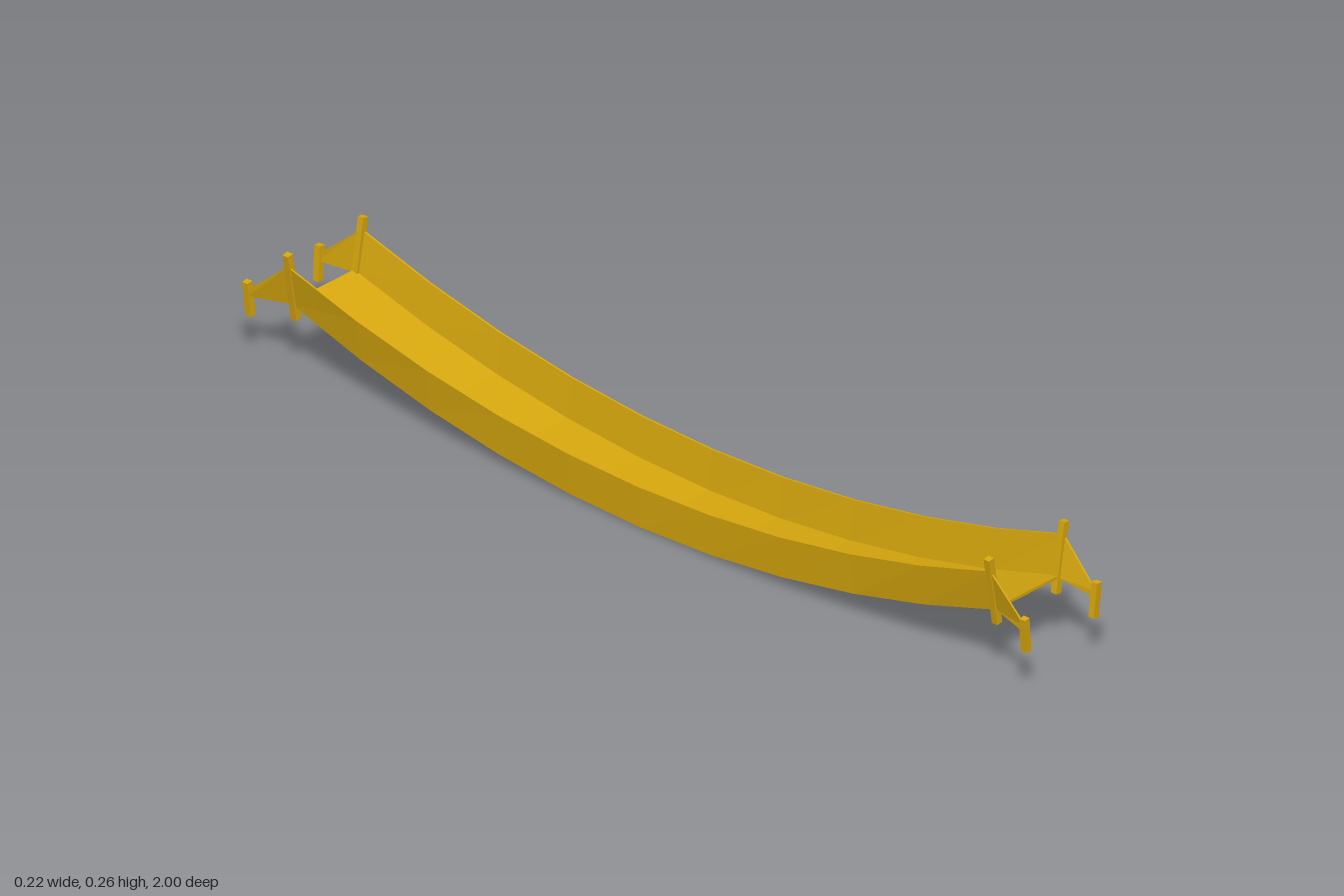
import * as THREE from 'three';

const MID = 0.01, HALF = 0.9;      // bridge centre and half span along z
const SAG = 0.145, WALL = 0.087;   // rise of the ends, height of the side walls

// Bend a unit box by a rule; u and v run -0.5..0.5, w runs 0..1
function bentBox(name, material, segments, rule) {
  const box = new THREE.BoxGeometry(1, 1, 1, 1, 1, segments);
  const p = box.attributes.position;
  for (let i = 0; i < p.count; i++) {
    p.setXYZ(i, ...rule(p.getX(i), p.getY(i), p.getZ(i) + 0.5));
  }
  const geometry = box.toNonIndexed();
  geometry.computeVertexNormals();
  const mesh = new THREE.Mesh(geometry, material);
  mesh.name = name;
  return mesh;
}

// Slanted square post between two points
function post(name, material, bottom, top, size) {
  const a = new THREE.Vector3(...bottom), b = new THREE.Vector3(...top);
  const mesh = new THREE.Mesh(new THREE.BoxGeometry(size, a.distanceTo(b), size), material);
  mesh.position.copy(a).add(b).multiplyScalar(0.5);
  mesh.quaternion.setFromUnitVectors(new THREE.Vector3(0, 1, 0), b.sub(a).normalize());
  mesh.name = name;
  return mesh;
}

export function createModel() {
  const group = new THREE.Group();
  group.name = 'hangingBridge';
  const gold = new THREE.MeshStandardMaterial({ color: 0xd9a90e });
  gold.name = 'golden yellow';

  // Sagging curve and foot of each side wall
  const along = (w) => 2 * w - 1;
  const sagY = (t) => SAG * t * t;
  const footX = (s, t) => s * (0.094 - 0.008 * t * t) - 0.003 * (1 - t * t);
  const topX = (s) => s * 0.102;

  // Walkway
  group.add(bentBox('deck', gold, 10, (u, v, w) => {
    const t = along(w);
    const x = u > 0 ? footX(1, t) : footX(-1, t);
    return [x, sagY(t) + (v + 0.5) * 0.006, MID + HALF * t];
  }));

  for (const s of [1, -1]) {
    const side = s > 0 ? 'left' : 'right';

    // Leaning side wall following the sag
    group.add(bentBox(side + 'Wall', gold, 10, (u, v, w) => {
      const t = along(w), h = v + 0.5;
      const x = THREE.MathUtils.lerp(footX(s, t), topX(s), h);
      return [x + u * 0.004, sagY(t) + h * WALL, MID + HALF * t];
    }));

    for (const e of [1, -1]) {
      const end = side + (e > 0 ? 'Front' : 'Back');
      const zIn = MID + e * 0.895, zOut = e * 0.992;

      // Tall post at the deck end and short anchor post beyond it
      group.add(post(end + 'TallPost', gold, [s * 0.081, 0.114, zIn], [s * 0.104, 0.258, zIn], 0.014));
      group.add(post(end + 'AnchorPost', gold, [s * 0.093, 0.089, zOut - e * 0.002], [s * 0.1, 0.161, zOut], 0.014));

      // Tapering panel between the two posts
      group.add(bentBox(end + 'EndPanel', gold, 1, (u, v, w) => {
        const k = e > 0 ? w : 1 - w, h = v + 0.5;
        const low = THREE.MathUtils.lerp(0.146, 0.129, k);
        const high = THREE.MathUtils.lerp(0.232, 0.143, k);
        const x = THREE.MathUtils.lerp(
          THREE.MathUtils.lerp(0.086, 0.101, h), 0.097, k);
        return [s * x + u * 0.004, THREE.MathUtils.lerp(low, high, h),
          THREE.MathUtils.lerp(zIn, zOut, k)];
      }));
    }
  }
  return group;
}
